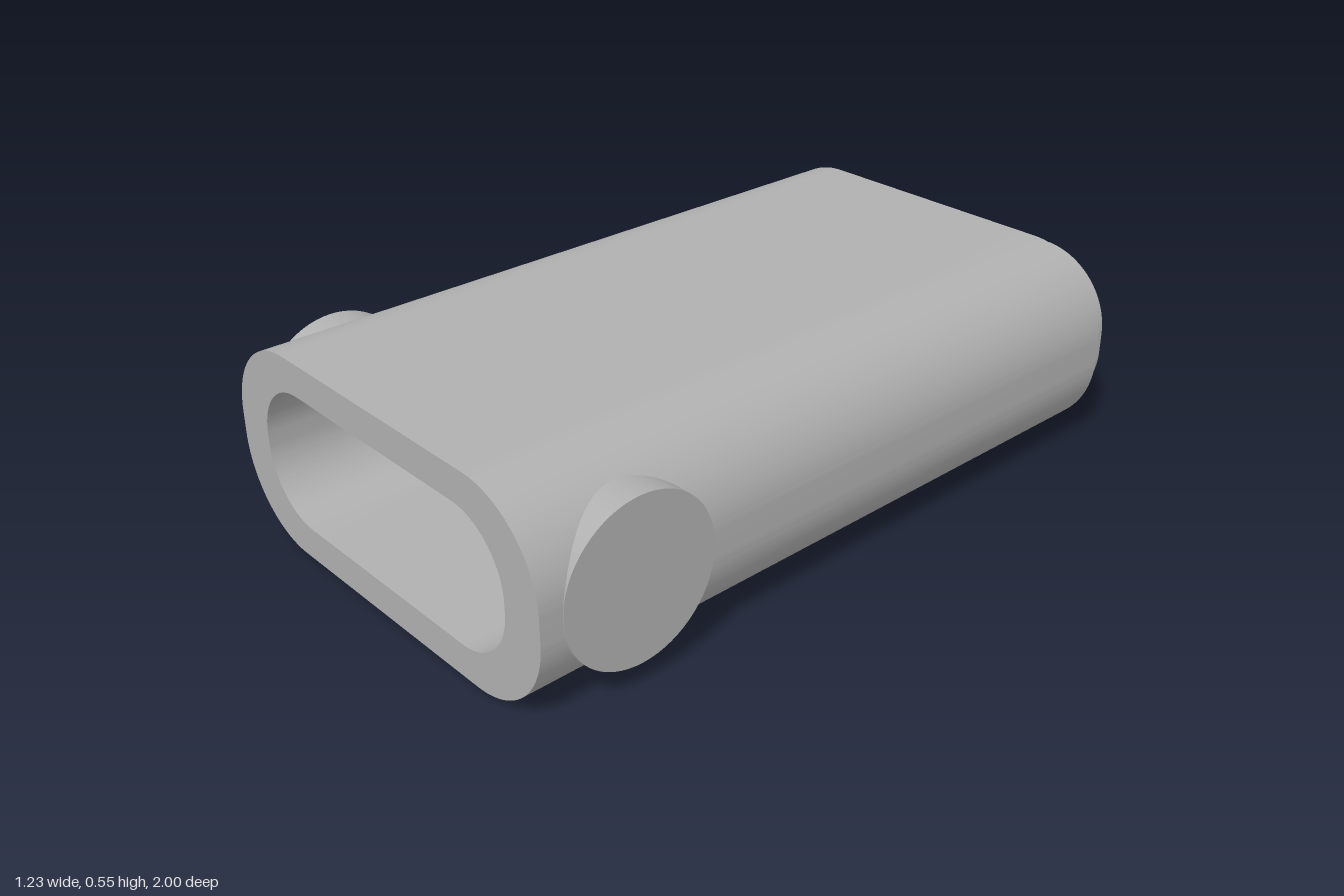
import * as THREE from 'three';
import { toCreasedNormals } from 'three/addons/utils/BufferGeometryUtils.js';

const CENTRE_Y = 0.276;

// Rounded rectangle outline centred on the origin
function roundedOutline(path, halfW, halfH, r) {
  const x = halfW - r, y = halfH - r;
  path.moveTo(x, -halfH);
  path.absarc(x, -y, r, -Math.PI / 2, 0, false);
  path.absarc(x, y, r, 0, Math.PI / 2, false);
  path.absarc(-x, y, r, Math.PI / 2, Math.PI, false);
  path.absarc(-x, -y, r, Math.PI, Math.PI * 1.5, false);
  path.closePath();
  return path;
}

// Open sleeve between two depths, sharing one bore
function sleeve(name, halfW, halfH, r, z0, z1, material) {
  const shape = roundedOutline(new THREE.Shape(), halfW, halfH, r);
  shape.holes.push(roundedOutline(new THREE.Path(), 0.493, 0.186, 0.173));
  const extruded = new THREE.ExtrudeGeometry(shape, {
    depth: z1 - z0, bevelEnabled: false, curveSegments: 20,
  });
  const mesh = new THREE.Mesh(toCreasedNormals(extruded, 0.5), material);
  mesh.position.set(0, CENTRE_Y, z0);
  mesh.name = name;
  return mesh;
}

export function createModel() {
  const group = new THREE.Group();
  group.name = 'ovalSleeve';
  const grey = new THREE.MeshStandardMaterial({ color: 0xb0b0b0 });
  grey.name = 'grey';

  // Main tube and the stepped lip at its back end
  group.add(sleeve('body', 0.614, 0.276, 0.245, -0.94, 1, grey));
  group.add(sleeve('backLip', 0.585, 0.243, 0.214, -1, -0.94, grey));

  // Round side bosses, ending flush with the tube's widest point
  const inner = 0.5, outer = 0.6155;
  for (const side of [-1, 1]) {
    const boss = new THREE.Mesh(
      new THREE.CylinderGeometry(0.215, 0.215, outer - inner, 64), grey);
    boss.rotation.z = -side * Math.PI / 2;
    boss.position.set(side * (inner + outer) / 2, CENTRE_Y + 0.003, 0.725);
    boss.name = side > 0 ? 'leftBoss' : 'rightBoss';
    group.add(boss);
  }
  return group;
}
